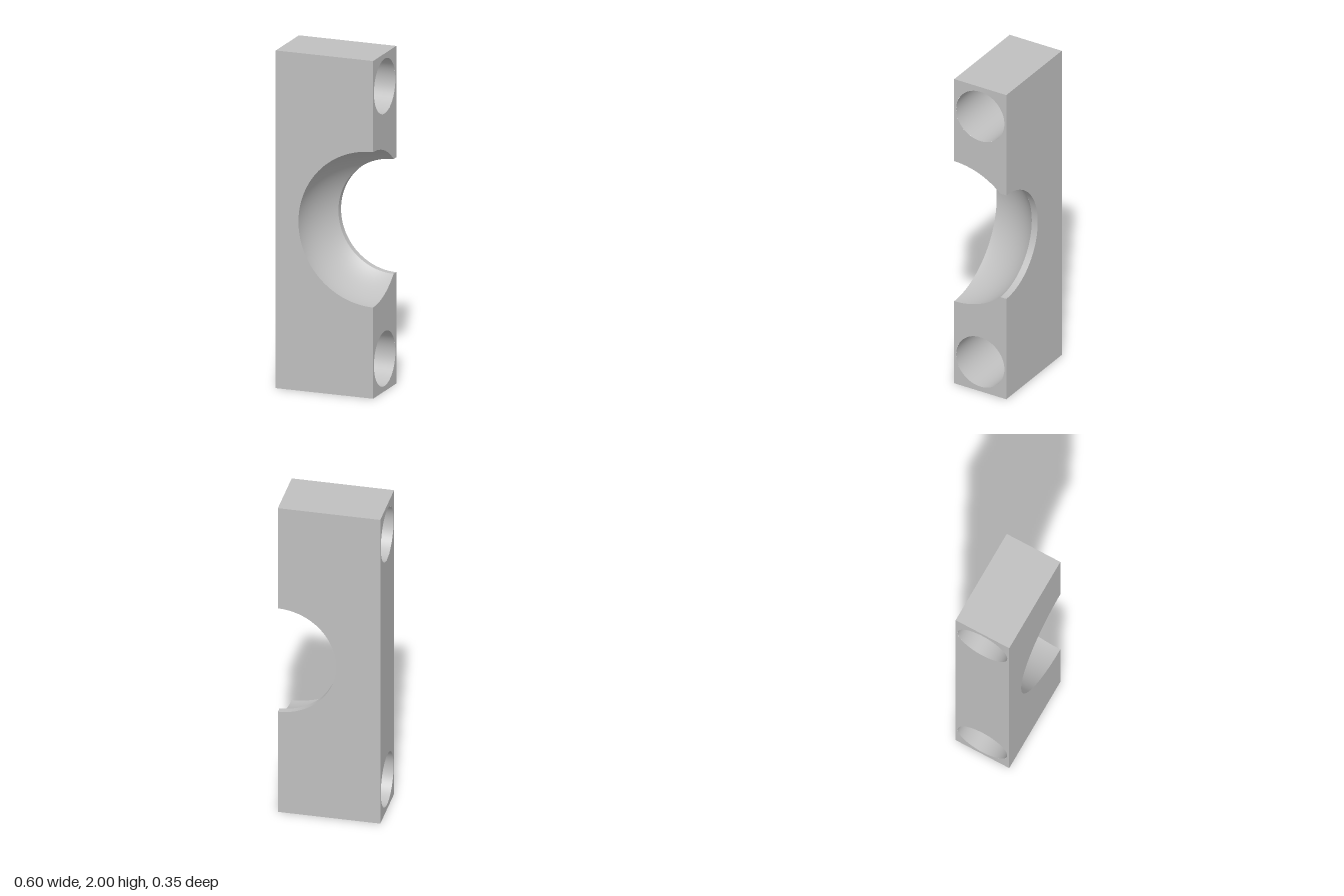
import * as THREE from 'three';

const W = 0.3, H = 2, D = 0.175;          // half width, height, half depth
const SEAT_R = 0.46, LIP_R = 0.34, LIP_Z = -0.135;
const BORE_R = 0.162, BORE_Y = [0.193, 1.807];
const SEG = 96;

export function createModel() {
  const model = new THREE.Group();
  model.name = 'clampBlock';
  const metal = new THREE.MeshStandardMaterial({ color: 0xc0c0c0 });
  metal.name = 'grey metal';

  const add = (name, geometry, parent = model) => {
    const mesh = new THREE.Mesh(geometry, metal);
    mesh.name = name;
    parent.add(mesh);
    return mesh;
  };
  const boreHole = (y) => new THREE.Path().absarc(0, y, BORE_R, 0, Math.PI * 2, true);
  const flat = (points, boreYs = []) => {
    const shape = new THREE.Shape(points);
    shape.holes = boreYs.map(boreHole);
    return new THREE.ShapeGeometry(shape, SEG / 2);
  };
  const V = (x, y) => new THREE.Vector2(x, y);
  // Points on a circular arc
  const arc = (cx, cy, r, from, to, n) => Array.from({ length: n + 1 }, (_, i) => {
    const a = from + (to - from) * i / n;
    return V(cx + r * Math.cos(a), cy + r * Math.sin(a));
  });

  // Front and back faces, each with a half-round cut in the +x edge
  const cutFace = (r, side) => flat([
    V(-W, 0), V(W, 0),
    ...arc(W, H / 2, r, -Math.PI / 2, -Math.PI * 1.5, SEG),
    V(W, H), V(-W, H),
  ].map((p) => V(p.x * side, p.y)));
  add('frontFace', cutFace(SEAT_R, 1)).position.z = D;
  const back = add('backFace', cutFace(LIP_R, -1));
  back.rotation.y = Math.PI;
  back.position.z = -D;

  // Top and bottom faces
  for (const [name, y, turn] of [['topFace', H, -1], ['bottomFace', 0, 1]]) {
    const face = add(name, new THREE.PlaneGeometry(2 * W, 2 * D));
    face.rotation.x = turn * Math.PI / 2;
    face.position.y = y;
  }

  // Outer side, pierced by both bores
  const outer = add('outerSide', flat([V(-D, 0), V(D, 0), V(D, H), V(-D, H)], BORE_Y));
  outer.rotation.y = -Math.PI / 2;
  outer.position.x = -W;

  // Parting faces, above and below the spherical seat
  const lipAngle = Math.atan2(-LIP_R, D - LIP_Z);
  const lower = [
    V(-D, 0), V(D, 0), V(D, H / 2 - LIP_R),
    ...arc(-D, H / 2, SEAT_R, lipAngle, -Math.PI / 2, 32),
  ];
  const upper = lower.map((p) => V(p.x, H - p.y));
  [['lowerPartingFace', lower], ['upperPartingFace', upper]].forEach(([name, points], i) => {
    const face = add(name, flat(points, [BORE_Y[i]]));
    face.rotation.y = Math.PI / 2;
    face.position.x = W;
  });

  // Half-round spherical seat and its thin cylindrical lip, facing inward
  const socket = new THREE.Group();
  socket.name = 'socket';
  socket.position.set(W, H / 2, 0);
  socket.rotation.x = Math.PI / 2;
  model.add(socket);
  const seatProfile = arc(0, D, SEAT_R, 0, -Math.atan2(D - LIP_Z, LIP_R), 32);
  const halfLathe = (points) => new THREE.LatheGeometry(points, SEG, Math.PI, Math.PI);
  add('sphericalSeat', halfLathe(seatProfile), socket);
  add('seatLip', halfLathe([V(LIP_R, LIP_Z), V(LIP_R, -D)]), socket);

  // Walls of the two bolt bores
  BORE_Y.forEach((y, i) => {
    const bore = add(i ? 'upperBore' : 'lowerBore',
      new THREE.LatheGeometry([V(BORE_R, W), V(BORE_R, -W)], SEG / 2));
    bore.rotation.z = Math.PI / 2;
    bore.position.y = y;
  });

  return model;
}
